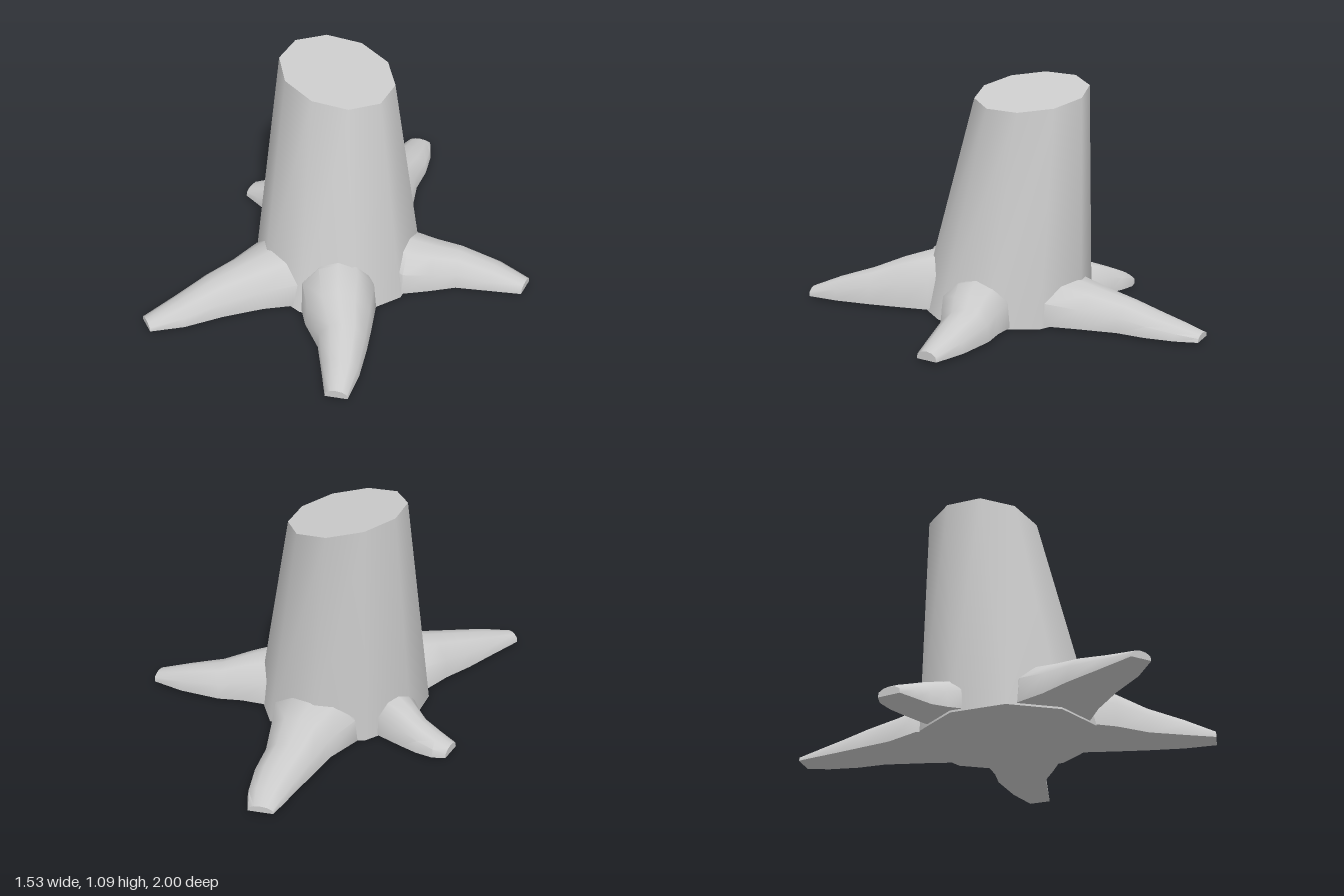
import * as THREE from 'three';
import { toCreasedNormals } from 'three/addons/utils/BufferGeometryUtils.js';

const CREASE = 0.95;
const GROUND = 0.01;

// Arch cross-section of a root: [fraction across, fraction of height]
const ARCH = [[0, 0], [0.03, 0.55], [0.25, 0.9], [0.5, 1], [0.75, 0.9], [0.97, 0.55], [1, 0]];

// Each root: outline stations from trunk to tip as [leftX, leftZ, rightX, rightZ, height],
// left and right as seen looking outward
const ROOTS = {
  backRoot: [
    [-0.37, -0.27, 0.05, -0.38, 0.2], [-0.36, -0.45, -0.05, -0.52, 0.17], [-0.385, -0.6, -0.15, -0.67, 0.135],
    [-0.41, -0.75, -0.2, -0.8, 0.1], [-0.43, -0.86, -0.27, -0.92, 0.07], [-0.445, -0.95, -0.34, -1.0, 0.04]],
  backLeftRoot: [
    [0.18, -0.31, 0.34, 0, 0.21], [0.28, -0.35, 0.42, -0.1, 0.18], [0.38, -0.41, 0.5, -0.21, 0.145],
    [0.57, -0.47, 0.63, -0.3, 0.1], [0.73, -0.49, 0.76, -0.39, 0.05]],
  frontLeftRoot: [
    [0.31, 0.15, 0.04, 0.39, 0.265], [0.4, 0.28, 0.15, 0.47, 0.22], [0.48, 0.4, 0.3, 0.54, 0.165],
    [0.57, 0.55, 0.43, 0.65, 0.11], [0.63, 0.69, 0.54, 0.745, 0.05]],
  frontRoot: [
    [0.04, 0.39, -0.35, 0.3, 0.225], [-0.07, 0.53, -0.36, 0.45, 0.185], [-0.17, 0.7, -0.39, 0.6, 0.145],
    [-0.25, 0.87, -0.41, 0.77, 0.095], [-0.345, 1.0, -0.435, 0.965, 0.045]],
  rightRoot: [
    [-0.45, 0.07, -0.42, -0.175, 0.175], [-0.5, 0.035, -0.55, -0.18, 0.15], [-0.57, 0, -0.64, -0.18, 0.12],
    [-0.66, -0.01, -0.72, -0.165, 0.085], [-0.75, -0.02, -0.77, -0.13, 0.05]],
};

// Ten-sided leaning trunk with a slanted cut
function trunkGeometry() {
  const geo = new THREE.CylinderGeometry(1, 1, 1, 10, 1);
  geo.rotateY(Math.PI / 10);
  const p = geo.attributes.position;
  for (let i = 0; i < p.count; i++) {
    const x = p.getX(i), z = p.getZ(i);
    if (p.getY(i) > 0) {
      const tx = 0.27 * x, tz = 0.27 * z;
      p.setXYZ(i, tx - 0.145, 1.04 - 0.19 * tx + 0.08 * tz, tz - 0.07);
    } else {
      p.setXYZ(i, 0.405 * x - 0.06, 0, 0.425 * z + 0.015);
    }
  }
  return toCreasedNormals(geo, CREASE);
}

// Loft the arch through the stations, starting inside the trunk
function rootGeometry(stations) {
  const [lx, lz, rx, rz, h] = stations[0];
  const inward = (v, c) => v + (c - v) * 0.45;
  const rings = [[inward(lx, -0.06), inward(lz, 0), inward(rx, -0.06), inward(rz, 0), h + 0.02], ...stations];
  const n = ARCH.length;
  const pos = [], idx = [];
  for (const [ax, az, bx, bz, top] of rings) {
    for (const [u, v] of ARCH) {
      pos.push(ax + (bx - ax) * u, GROUND + (top - GROUND) * v, az + (bz - az) * u);
    }
  }
  for (let s = 0; s < rings.length - 1; s++) {
    for (let j = 0; j < n; j++) {
      const a = s * n + j, b = s * n + (j + 1) % n;
      idx.push(a, b, a + n, b, b + n, a + n);
    }
  }
  // Tip cap
  const tip = (rings.length - 1) * n;
  for (let j = 1; j < n - 1; j++) idx.push(tip, tip + j, tip + j + 1);
  const geo = new THREE.BufferGeometry();
  geo.setAttribute('position', new THREE.Float32BufferAttribute(pos, 3));
  geo.setIndex(idx);
  return toCreasedNormals(geo, CREASE);
}

export function createModel() {
  const group = new THREE.Group();
  group.name = 'treeStump';
  const material = new THREE.MeshStandardMaterial({ color: 0xcccccc });
  const add = (name, geo) => {
    const mesh = new THREE.Mesh(geo, material);
    mesh.name = name;
    group.add(mesh);
  };
  add('trunk', trunkGeometry());
  for (const [name, stations] of Object.entries(ROOTS)) add(name, rootGeometry(stations));
  return group;
}
